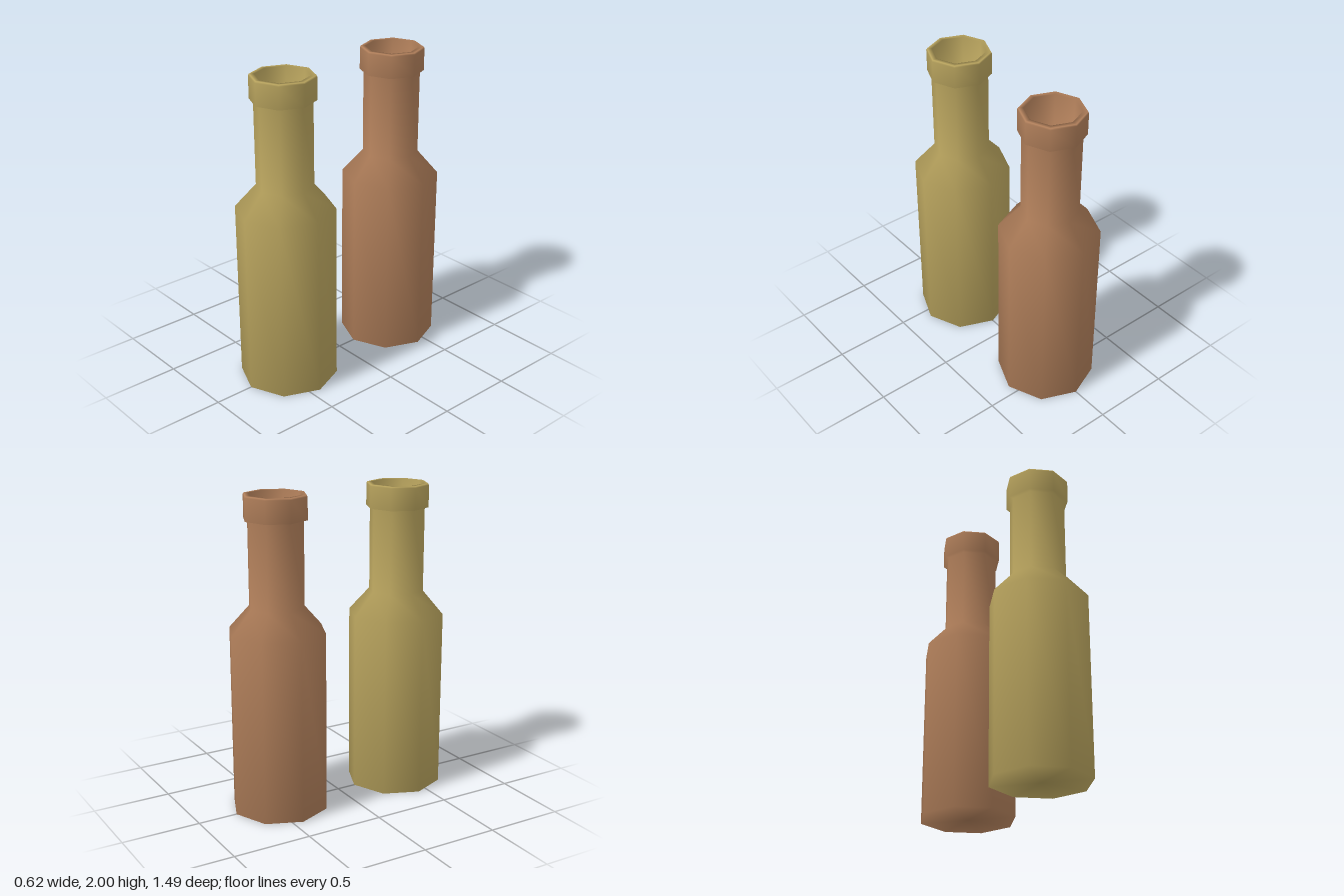
import * as THREE from 'three';

// Bottle outline from the base centre, up the outside, over the lip and down into the neck
const PROFILE = [
  [0, 0], [0.31, 0],            // base
  [0.31, 1.16],                 // body
  [0.177, 1.31],                // shoulder
  [0.177, 1.845],               // neck
  [0.201, 1.85], [0.201, 1.99], // lip
  [0.196, 2], [0.166, 2],       // rim
  [0.16, 1.7], [0, 1.7],        // hollow mouth
].map(([r, y]) => new THREE.Vector2(r, y));

function makeBottle(name, material, z) {
  // eight sides with smooth normals, corners on the x and z axes
  const bottle = new THREE.Mesh(new THREE.LatheGeometry(PROFILE, 8), material);
  bottle.name = name;
  bottle.position.z = z;
  return bottle;
}

export function createModel() {
  const group = new THREE.Group();
  group.name = 'bottles';

  const oliveGlass = new THREE.MeshStandardMaterial({ color: 0xb9a45e });
  oliveGlass.name = 'olive glass';
  const brownGlass = new THREE.MeshStandardMaterial({ color: 0xb2805b });
  brownGlass.name = 'brown glass';

  group.add(
    makeBottle('frontBottle', oliveGlass, 0.435),
    makeBottle('backBottle', brownGlass, -0.435),
  );
  return group;
}
